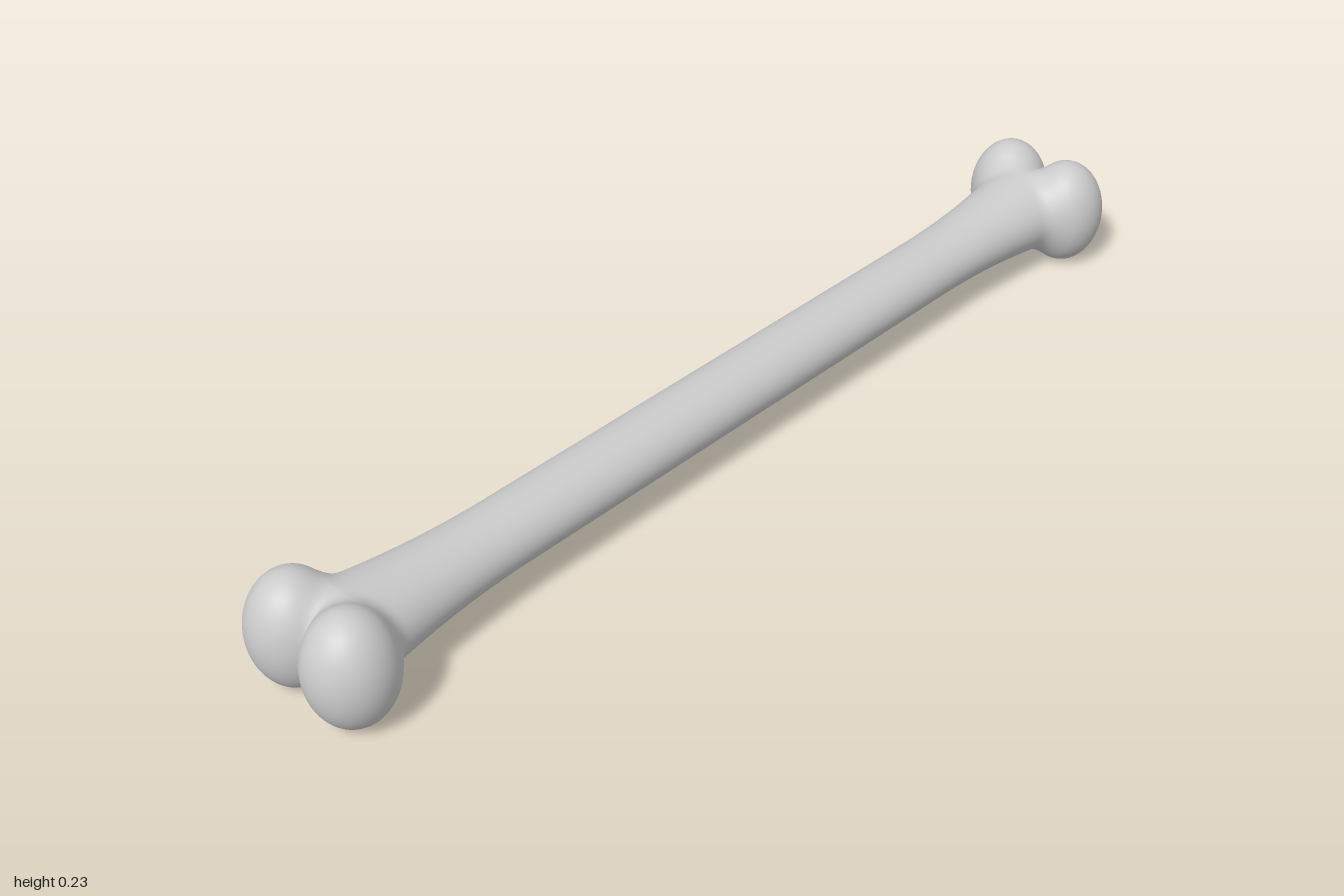
import * as THREE from 'three';

const NECK = 0.96; // distance from the middle to where the rounded end begins

// Blended field of the flared shaft and the two end lobes (negative inside).
// x runs across the bone, y is up, s runs along it (mirrored at the middle).
function field(x, y, s) {
  s = Math.abs(s);
  const flare = THREE.MathUtils.clamp((s - 0.6) / 0.36, 0, 1) ** 2;
  const w = 0.075 + 0.031 * flare;
  const h = 0.062 + 0.028 * flare;
  const cap = Math.max(0, s - NECK) / 0.08;
  const shaft = (Math.hypot(x / w, y / h, cap) - 1) * h;
  const lobe = (Math.hypot((Math.abs(x) - 0.075) / 0.085, y / 0.117, (s - 1.012) / 0.086) - 1) * 0.09;
  // smooth union of shaft and lobes; the lobes meet each other in a crease
  const k = 0.025;
  const blend = Math.max(k - Math.abs(shaft - lobe), 0) / k;
  return Math.min(shaft, lobe) - blend * blend * k * 0.25;
}

// Distance from the axis point s0 to the surface along a direction
function reach(s0, dx, dy, ds) {
  let near = 0, far = 0.02;
  while (far < 0.3 && field(dx * far, dy * far, s0 + ds * far) < 0) {
    near = far;
    far += 0.008;
  }
  for (let i = 0; i < 18; i++) {
    const mid = (near + far) / 2;
    if (field(dx * mid, dy * mid, s0 + ds * mid) < 0) near = mid;
    else far = mid;
  }
  return far;
}

function boneGeometry() {
  const sides = 96;
  // rows: [axis point, tilt of the ray towards the end]
  const half = [];
  for (let i = 1; i <= 24; i++) half.push([0.7 * i / 24, 0]);
  for (let i = 1; i <= 26; i++) half.push([0.7 + (NECK - 0.7) * i / 26, 0]);
  for (let i = 1; i < 40; i++) half.push([NECK, (Math.PI / 2) * i / 40]);
  const rows = [...half.map(([s, t]) => [-s, -t]).reverse(), [0, 0], ...half];

  const points = [], faces = [];
  for (const [s, tilt] of rows) {
    for (let j = 0; j < sides; j++) {
      const a = (j / sides) * Math.PI * 2;
      const dx = Math.cos(a) * Math.cos(tilt);
      const dy = Math.sin(a) * Math.cos(tilt);
      const ds = Math.sin(tilt);
      const r = reach(s, dx, dy, ds);
      points.push(dx * r, dy * r, s + ds * r);
    }
  }
  for (let i = 0; i < rows.length - 1; i++) {
    for (let j = 0; j < sides; j++) {
      const a = i * sides + j, b = i * sides + (j + 1) % sides;
      faces.push(a, b, b + sides, a, b + sides, a + sides);
    }
  }
  // close both tips
  const tip = NECK + reach(NECK, 0, 0, 1);
  const first = rows.length * sides, last = (rows.length - 1) * sides;
  points.push(0, 0, -tip, 0, 0, tip);
  for (let j = 0; j < sides; j++) {
    const n = (j + 1) % sides;
    faces.push(first, n, j, first + 1, last + j, last + n);
  }

  const geometry = new THREE.BufferGeometry();
  geometry.setAttribute('position', new THREE.Float32BufferAttribute(points, 3));
  geometry.setIndex(faces);
  geometry.computeVertexNormals();
  return geometry;
}

export function createModel() {
  const group = new THREE.Group();
  group.name = 'bone';
  const bone = new THREE.Mesh(boneGeometry(), new THREE.MeshStandardMaterial({ color: 0xcccccc }));
  bone.name = 'boneShaftAndLobes';
  // lies flat, pointing diagonally from front right to back left
  bone.rotation.y = Math.PI - 0.518;
  bone.position.y = 0.118;
  group.add(bone);
  return group;
}
